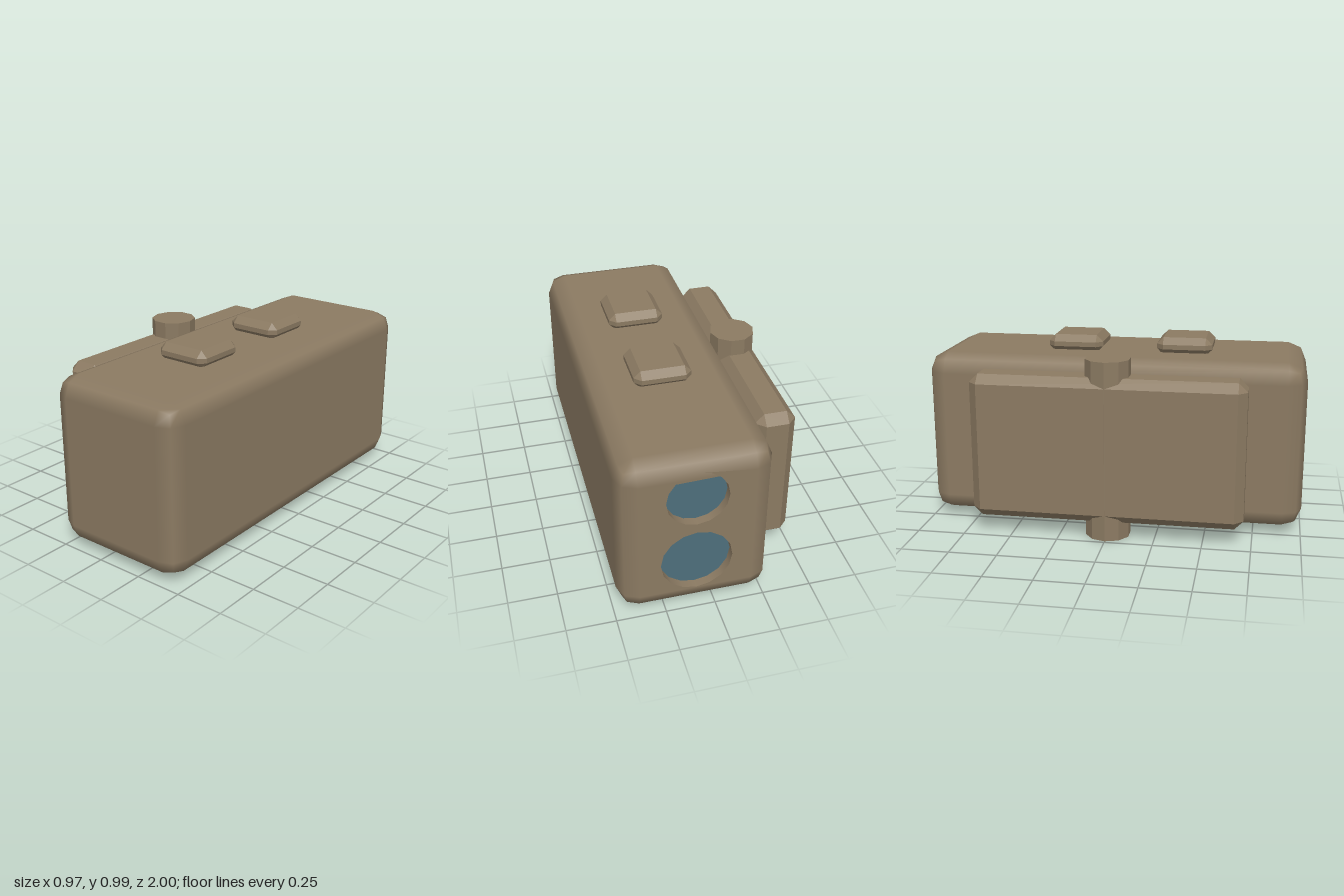
import * as THREE from 'three';
import { RoundedBoxGeometry } from 'three/addons/geometries/RoundedBoxGeometry.js';
import { ConvexGeometry } from 'three/addons/geometries/ConvexGeometry.js';

const SIDES = 16;
const BODY = { x: 0.1, y: 0.47, w: 0.76, h: 0.88, d: 2, r: 0.1 };
const RECESS = 0.045;
const PORTS = [{ y: 0.69, r: 0.152 }, { y: 0.31, r: 0.177 }];

// Box with every edge cut at 45 degrees: three points per corner
function chamferBox(w, h, d, c) {
  const points = [];
  for (const sx of [-1, 1]) for (const sy of [-1, 1]) for (const sz of [-1, 1]) {
    const corner = (ix, iy, iz) => new THREE.Vector3(
      sx * (w / 2 - ix * c), sy * (h / 2 - iy * c), sz * (d / 2 - iz * c));
    points.push(corner(0, 1, 1), corner(1, 0, 1), corner(1, 1, 0));
  }
  return new ConvexGeometry(points);
}

// Rounded body shell whose flat back panel is left open for the pierced plate
function openBackShell() {
  const geo = new RoundedBoxGeometry(BODY.w, BODY.h, BODY.d, 1, BODY.r);
  const pos = geo.attributes.position, nor = geo.attributes.normal;
  const p = [], n = [];
  for (let i = 0; i < pos.count; i += 3) {
    const onBack = [0, 1, 2].every(k => pos.getZ(i + k) < -BODY.d / 2 + 1e-4);
    if (onBack) continue;
    for (let k = i; k < i + 3; k++) {
      p.push(pos.getX(k), pos.getY(k), pos.getZ(k));
      n.push(nor.getX(k), nor.getY(k), nor.getZ(k));
    }
  }
  const shell = new THREE.BufferGeometry();
  shell.setAttribute('position', new THREE.Float32BufferAttribute(p, 3));
  shell.setAttribute('normal', new THREE.Float32BufferAttribute(n, 3));
  return shell;
}

// Flat back panel with a round hole for each lens
function backPlate() {
  const a = BODY.w / 2 - BODY.r, b = BODY.h / 2 - BODY.r;
  const shape = new THREE.Shape([[-a, -b], [a, -b], [a, b], [-a, b]].map(q => new THREE.Vector2(...q)));
  for (const { y, r } of PORTS) {
    const ring = [];
    for (let i = 0; i < SIDES; i++) {
      const t = -i / SIDES * Math.PI * 2;
      ring.push(new THREE.Vector2(r * Math.cos(t), y - BODY.y + r * Math.sin(t)));
    }
    shape.holes.push(new THREE.Path(ring));
  }
  return new THREE.ShapeGeometry(shape).rotateY(Math.PI);
}

export function createModel() {
  const group = new THREE.Group();
  const casing = new THREE.MeshStandardMaterial({ color: 0x8b7a62 });
  const facet = new THREE.MeshStandardMaterial({ color: 0x8b7a62, flatShading: true });
  const inner = new THREE.MeshStandardMaterial({ color: 0x8b7a62, side: THREE.BackSide });
  const glass = new THREE.MeshStandardMaterial({ color: 0x4d6f7b });

  function add(name, geometry, material, x, y, z) {
    const mesh = new THREE.Mesh(geometry, material);
    mesh.name = name;
    mesh.position.set(x, y, z);
    group.add(mesh);
  }

  // Main housing
  add('body', openBackShell(), casing, BODY.x, BODY.y, 0);
  add('backPlate', backPlate(), casing, BODY.x, BODY.y, -BODY.d / 2);

  // Recessed lenses in the back
  PORTS.forEach(({ y, r }, i) => {
    const label = i === 0 ? 'upper' : 'lower';
    const wall = new THREE.CylinderGeometry(r, r, RECESS, SIDES, 1, true, Math.PI / 2).rotateX(Math.PI / 2);
    add(label + 'LensRim', wall, inner, BODY.x, y, -BODY.d / 2 + RECESS / 2);
    add(label + 'Lens', new THREE.CircleGeometry(r, SIDES).rotateY(Math.PI), glass,
      BODY.x, y, -BODY.d / 2 + RECESS);
  });

  // Buttons on top, sunk slightly into the housing
  add('frontButton', chamferBox(0.295, 0.095, 0.295, 0.035), facet, 0.1, 0.9425, 0.352);
  add('backButton', chamferBox(0.295, 0.095, 0.295, 0.035), facet, 0.1, 0.9425, -0.235);

  // Side mounting panel and the pin running through it
  add('sidePanel', chamferBox(0.207, 0.763, 1.415, 0.046), facet, -0.382, 0.4725, 0);
  add('mountPin', new THREE.CylinderGeometry(0.118, 0.118, 0.942, 10, 1, false, Math.PI / 2), facet,
    -0.368, 0.471, 0);

  return group;
}
